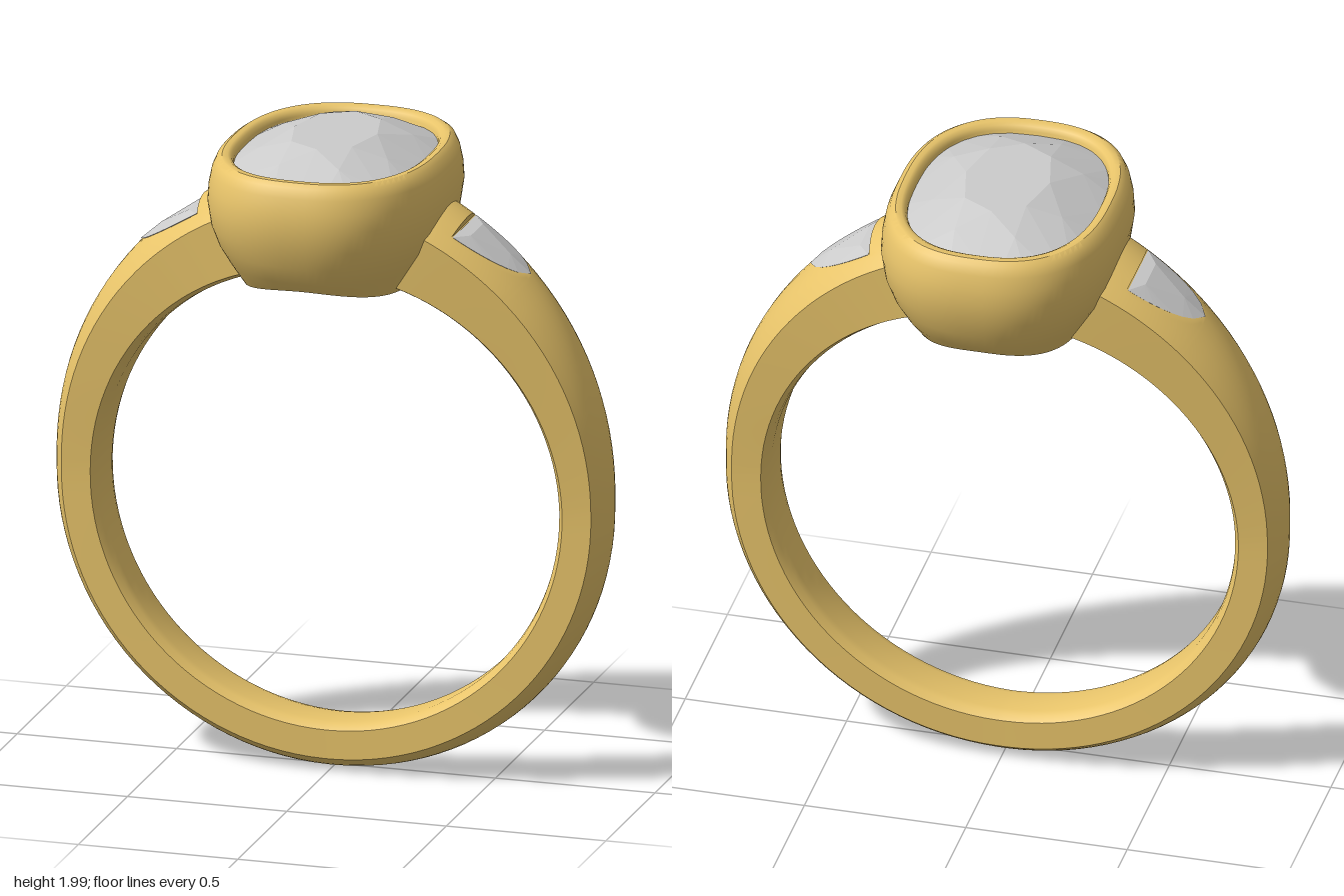
import * as THREE from 'three';
import { toCreasedNormals } from 'three/addons/utils/BufferGeometryUtils.js';
import { ConvexGeometry } from 'three/addons/geometries/ConvexGeometry.js';

const gold = new THREE.MeshStandardMaterial({ color: 0xe8c46a });
const stone = new THREE.MeshStandardMaterial({ color: 0xcccccc });
const CY = 0.88, R_IN = 0.72; // centre height and radius of the finger hole
const rad = THREE.MathUtils.degToRad;

function mesh(name, geometry, material) {
  const m = new THREE.Mesh(geometry, material);
  m.name = name;
  return m;
}

// Skin a list of closed rings; wrap joins the last ring to the first
function loft(rings, wrap, crease) {
  const n = rings[0].length, pos = [], idx = [];
  rings.forEach(r => r.forEach(p => pos.push(...p)));
  for (let i = 0; i < rings.length - (wrap ? 0 : 1); i++) {
    for (let j = 0; j < n; j++) {
      const k = (i + 1) % rings.length, l = (j + 1) % n;
      const a = i * n + j, b = i * n + l, c = k * n + l, d = k * n + j;
      idx.push(a, b, c, a, c, d);
    }
  }
  const g = new THREE.BufferGeometry();
  g.setAttribute('position', new THREE.Float32BufferAttribute(pos, 3));
  g.setIndex(idx);
  return toCreasedNormals(g, crease);
}

// Cushion outline (superellipse)
function cushion(sx, sz, y, count, power, offset = 0) {
  return Array.from({ length: count }, (_, i) => {
    const t = (i + offset) / count * Math.PI * 2, c = Math.cos(t), s = Math.sin(t);
    const f = (v) => Math.sign(v) * Math.abs(v) ** (2 / power);
    return [sx * f(c), y, -sz * f(s)];
  });
}

// Band dimensions at an angle (degrees) from the top
const WALL = 25, TIP = 41;
function bandSize(a) {
  const k = Math.max(0, (90 - a) / 70);
  const crown = 0.87 + 0.12 * k ** 1.4;
  const edge = 0.83 + 0.09 * k ** 1.4;
  const w = 0.1 + 0.077 * k ** 1.2 - 0.015 * Math.max(0, (a - 90) / 90);
  const flat = 0.937 / (0.53 * Math.sin(rad(a)) + 0.848 * Math.cos(rad(a)));
  const zb = a < TIP ? w * Math.sqrt(Math.max(0, crown - flat) / (crown - edge)) : 0;
  return { crown, edge, w, flat, zb };
}

// Cross-section of the band: domed outside, flat seat for a stone, hole below it
function bandSection(a, cut, hole, mirrored) {
  const { crown, edge, w, flat } = bandSize(a);
  const zb = bandSize(Math.max(a, WALL)).zb;
  const pts = [];
  for (let j = -9; j <= 9; j++) {
    const m = Math.abs(j);
    const z = m <= 4 ? zb * m / 4 : zb + (w - zb) * (m - 4) / 5;
    let r = edge + (crown - edge) * (1 - (z / w) ** 2);
    if (cut) r = Math.min(r, flat);
    pts.push([r, Math.sign(j) * z]);
  }
  const h = 0.07 * THREE.MathUtils.clamp((36 - a) / 9, 0, 1);
  const roof = hole ? 0.87 : R_IN;
  const half = [[0.74, w], [0.725, 0.8 * w], [R_IN, 0.55 * w], [R_IN, h], [roof, h]];
  pts.push(...half, ...half.map(([r, z]) => [r, -z]).reverse());
  const t = rad(mirrored ? 360 - a : a);
  return pts.map(([r, z]) => [r * Math.sin(t), CY + r * Math.cos(t), z]);
}

function bandGeometry() {
  // angle, stone seat, hole; repeated angles make the upright walls
  const steps = [];
  for (let a = 19; a <= WALL; a += 2) steps.push([a, false, false]);
  for (let a = WALL; a <= 27; a++) steps.push([a, true, false]);
  for (let a = 27; a <= 36; a++) steps.push([a, true, true]);
  for (let a = 36.5; a < TIP; a += 0.5) steps.push([a, true, false]);
  for (let a = TIP; a < 180; a += 3) steps.push([a, false, false]);
  const rings = steps.map(s => bandSection(...s, false));
  rings.push(bandSection(180, false, false, false));
  rings.push(...steps.map(s => bandSection(...s, true)).reverse());
  // close both ends
  const cap = (s) => rings[0].map(() => [s * 0.82 * Math.sin(rad(19)), CY + 0.82 * Math.cos(rad(19)), 0]);
  return loft([cap(1), ...rings, cap(-1)], false, 0.6);
}

function bezelGeometry() {
  // half width, half depth, height; null height follows the finger hole
  const profile = [
    [0.25, 0.36, null], [0.295, 0.395, 1.635], [0.328, 0.422, 1.69], [0.35, 0.443, 1.75],
    [0.36, 0.455, 1.82], [0.357, 0.45, 1.87], [0.348, 0.44, 1.915], [0.335, 0.426, 1.945],
    [0.318, 0.41, 1.957], [0.302, 0.39, 1.957], [0.291, 0.378, 1.95], [0.285, 0.37, 1.937],
    [0.283, 0.368, 1.915], [0.13, 0.17, 1.65], [0.13, 0.17, null],
    [0.17, 0.23, null], [0.21, 0.30, null],
  ];
  const rings = profile.map(([sx, sz, y]) =>
    cushion(sx, sz, y, 96, 2.5).map(([x, h, z]) => [x, h ?? CY + Math.sqrt(R_IN ** 2 - x * x), z]));
  return loft(rings, true, 0.6);
}

const hull = (pts) => new ConvexGeometry(pts.map(p => new THREE.Vector3(...p)));

// Cushion-cut centre stone
function centreStoneGeometry() {
  return hull([
    ...cushion(0.13, 0.2, 2.0, 8, 2.2),
    ...cushion(0.215, 0.295, 1.966, 8, 2.3, 0.5),
    ...cushion(0.287, 0.372, 1.925, 32, 2.6),
    ...cushion(0.16, 0.21, 1.78, 8, 2.2, 0.5),
    [0, 1.66, 0],
  ]);
}

// Triangular stone with bowed sides, filling the seat in the shoulder
function sideStoneGeometry(side) {
  const pts = [];
  const n = [0.53, 0.848];
  const add = (x, y, z, lift) => pts.push([side * (x + n[0] * lift), y + n[1] * lift, z]);
  const c = [0.465, 1.695];
  for (let i = 0; i <= 8; i++) {
    const a = WALL + 0.2 + (40 - WALL) * i / 8, { flat, zb } = bandSize(a);
    const x = flat * Math.sin(rad(a)), y = CY + flat * Math.cos(rad(a));
    for (const s of [-1, 1]) {
      add(x, y, s * zb * 0.98, 0.002);
      // table corners
      if (i === 0 || i === 8) add(c[0] + (x - c[0]) * 0.5, c[1] + (y - c[1]) * 0.5, s * zb * 0.5, 0.016);
    }
  }
  add(c[0], c[1], 0, -0.09);
  return hull(pts);
}

export function createModel() {
  const ring = new THREE.Group();
  ring.name = 'ring';
  ring.add(mesh('band', bandGeometry(), gold));
  ring.add(mesh('bezel', bezelGeometry(), gold));
  ring.add(mesh('centreStone', centreStoneGeometry(), stone));
  ring.add(mesh('leftSideStone', sideStoneGeometry(1), stone));
  ring.add(mesh('rightSideStone', sideStoneGeometry(-1), stone));
  return ring;
}
